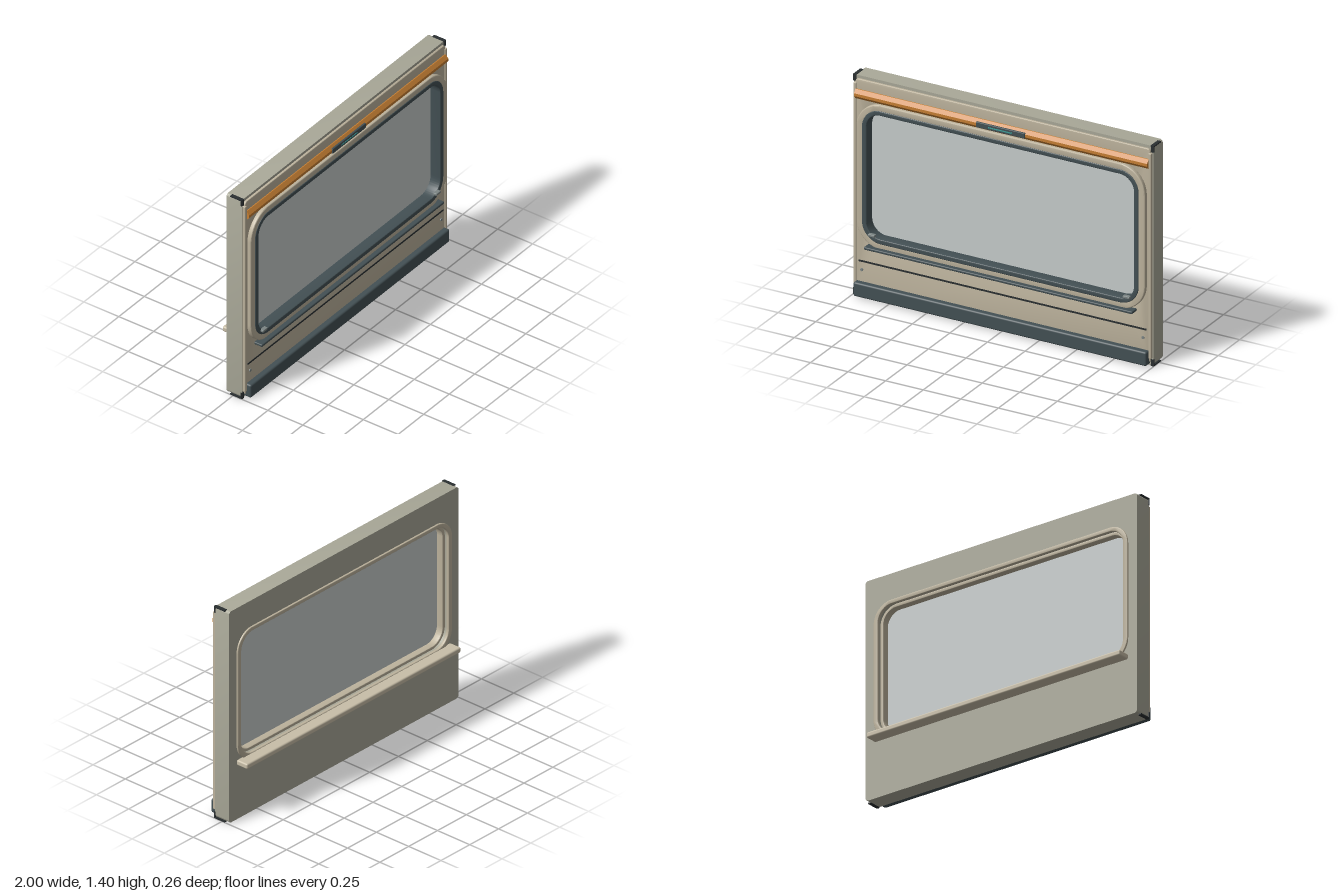
import * as THREE from 'three';
import { RoundedBoxGeometry } from 'three/addons/geometries/RoundedBoxGeometry.js';
import { toCreasedNormals } from 'three/addons/utils/BufferGeometryUtils.js';

const mat = (color) => new THREE.MeshStandardMaterial({ color });
const shell = mat(0xa9a898), panel = mat(0xbdb39d), cream = mat(0xc8bea8);
const dark = mat(0x435054), black = mat(0x2a2f31), orange = mat(0xc67f33);
const glassMat = mat(0xc6cccb), teal = mat(0x3fa09a), steel = mat(0x7c8584);

// Rounded rectangle from half width, bottom, top and corner radius
function roundRect(Type, hw, y0, y1, r) {
  const s = new Type();
  s.moveTo(hw - r, y0);
  s.absarc(hw - r, y0 + r, r, -Math.PI / 2, 0);
  s.absarc(hw - r, y1 - r, r, 0, Math.PI / 2);
  s.absarc(-hw + r, y1 - r, r, Math.PI / 2, Math.PI);
  s.absarc(-hw + r, y0 + r, r, Math.PI, Math.PI * 1.5);
  s.closePath();
  return s;
}

export function createModel() {
  const model = new THREE.Group();

  const add = (name, geometry, material, x = 0, y = 0, z = 0) => {
    const mesh = new THREE.Mesh(geometry, material);
    mesh.name = name;
    mesh.position.set(x, y, z);
    model.add(mesh);
    return mesh;
  };

  // Rounded plate between z0 and z1, with an optional rounded opening
  const plate = (name, material, outer, hole, z0, z1, bevel = 0) => {
    const [hw, y0, y1, r] = outer;
    const shape = roundRect(THREE.Shape, hw - bevel, y0 + bevel, y1 - bevel, r - bevel);
    if (hole) {
      const [a, b, c, d] = hole;
      shape.holes.push(roundRect(THREE.Path, a + bevel, b - bevel, c + bevel, d + bevel));
    }
    const geometry = new THREE.ExtrudeGeometry(shape, {
      depth: z1 - z0 - 2 * bevel, curveSegments: 12, bevelEnabled: bevel > 0,
      bevelSize: bevel, bevelThickness: bevel, bevelSegments: 3,
    });
    return add(name, toCreasedNormals(geometry, 0.6), material, 0, 0, z0 + bevel);
  };

  // Box given by its limits, rounded when r > 0
  const box = (name, material, x0, x1, y0, y1, z0, z1, r = 0) => {
    const w = x1 - x0, h = y1 - y0, d = z1 - z0;
    const geometry = r ? new RoundedBoxGeometry(w, h, d, 3, r) : new THREE.BoxGeometry(w, h, d);
    return add(name, geometry, material, (x0 + x1) / 2, (y0 + y1) / 2, (z0 + z1) / 2);
  };

  // Wall body and front skin
  const opening = [0.905, 0.395, 1.215, 0.115];
  plate('wallBody', shell, [0.995, 0.003, 1.403, 0.02], opening, -0.05, 0.06);
  plate('frontSkin', panel, [0.98, 0.02, 1.385, 0.02], opening, 0.055, 0.074, 0.004);

  // Window: raised surround, gasket, pane and inner trim
  plate('windowSurround', panel, [0.96, 0.34, 1.262, 0.17], [0.91, 0.39, 1.22, 0.12], 0.07, 0.1, 0.006);
  plate('windowGasket', dark, [0.92, 0.378, 1.226, 0.125], [0.89, 0.408, 1.198, 0.095], 0.02, 0.104, 0.004);
  plate('windowPane', glassMat, [0.9, 0.4, 1.208, 0.105], null, 0.022, 0.034);
  plate('innerTrim', panel, [0.93, 0.368, 1.232, 0.13], [0.898, 0.4, 1.206, 0.1], -0.06, -0.04, 0.004);
  plate('innerStop', panel, [0.906, 0.394, 1.216, 0.116], [0.884, 0.414, 1.194, 0.092], -0.025, 0.02, 0.003);

  // Sills on both faces
  box('innerSill', cream, -0.928, 0.928, 0.36, 0.395, -0.13, -0.045, 0.01);
  box('outerSill', dark, -0.893, 0.893, 0.333, 0.35, 0.07, 0.13, 0.006);

  // Coloured band with a ridged cross-section, running along x
  const section = new THREE.Shape();
  [[0.06, 1.262], [0.08, 1.262], [0.098, 1.282], [0.098, 1.3], [0.08, 1.322], [0.06, 1.322]]
    .forEach(([z, y], i) => (i ? section.lineTo(-z, y) : section.moveTo(-z, y)));
  const band = new THREE.ExtrudeGeometry(section, { depth: 1.95, bevelEnabled: false });
  band.rotateY(Math.PI / 2);
  add('accentBand', band, orange, -0.975, 0, 0);

  // Lamp in the band
  box('lampHousing', dark, -0.163, 0.163, 1.274, 1.308, 0.07, 0.103, 0.004);
  box('lampStrip', teal, -0.078, 0.078, 1.287, 1.294, 0.1, 0.105);

  // Lower front: seam, kick plate
  box('lowerSeam', black, -0.957, 0.957, 0.224, 0.235, 0.07, 0.076);
  box('kickPlate', dark, -0.975, 0.975, 0.01, 0.1, 0.05, 0.11, 0.012);

  // Mirrored details
  for (const side of [1, -1]) {
    const pre = side > 0 ? 'left' : 'right';
    const pair = (name, material, x, y, z, w, h, d, r) =>
      box(pre + name, material, side * x - w / 2, side * x + w / 2, y - h / 2, y + h / 2, z - d / 2, z + d / 2, r);

    pair('EdgeStrip', panel, 0.981, 0.705, 0.066, 0.02, 1.31, 0.03, 0.005);
    pair('WindowClip', steel, 0.848, 0.428, 0.11, 0.045, 0.016, 0.026, 0.004);

    const screw = new THREE.CylinderGeometry(0.009, 0.009, 0.008, 16).rotateX(Math.PI / 2);
    add(pre + 'Screw', screw, steel, side * 0.935, 0.175, 0.076);

    // Corner guards wrapping the top and bottom corners
    for (const [level, edge, dir] of [['Top', 1.405, -1], ['Bottom', 0, 1]]) {
      pair(level + 'CornerCap', black, 0.989, edge + dir * 0.004, 0.021, 0.022, 0.008, 0.082);
      pair(level + 'CornerSide', black, 0.996, edge + dir * 0.021, 0.058, 0.008, 0.042, 0.008);
      pair(level + 'CornerFace', black, 0.988, edge + dir * 0.021, 0.061, 0.014, 0.042, 0.008);
    }
  }

  return model;
}
